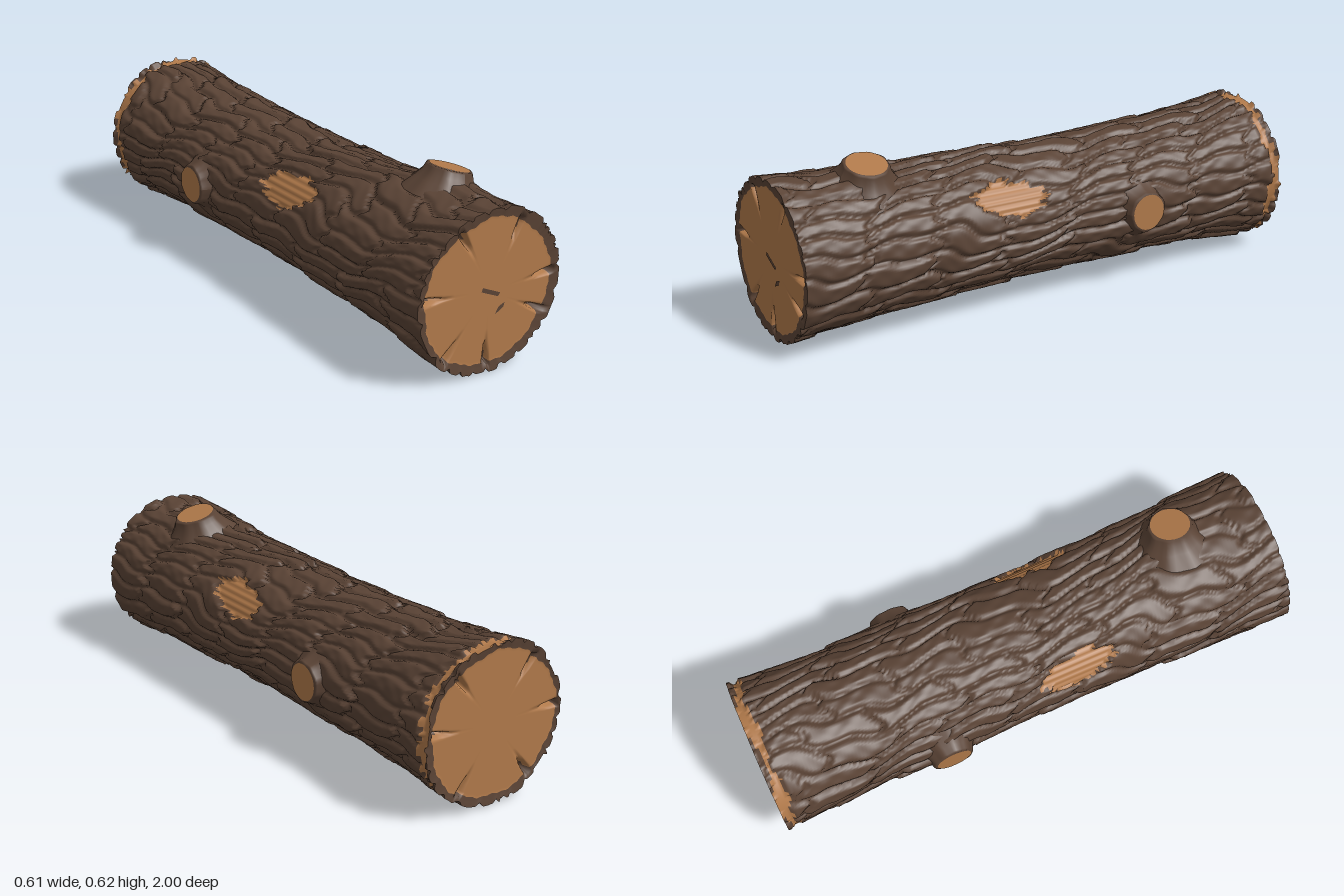
import * as THREE from 'three';

const bark = new THREE.MeshStandardMaterial({ color: 0x5a4335 });
bark.name = 'bark';
const wood = new THREE.MeshStandardMaterial({ color: 0xb0794a });
wood.name = 'cutWood';

const SEG = 264, ROWS = 184, COLS = 24, CY = 0.295, TAU = Math.PI * 2;
const smooth = THREE.MathUtils.smoothstep;
const hash = (a, b) => {
  const s = Math.sin(a * 127.1 + b * 311.7) * 43758.5453;
  return s - Math.floor(s);
};

// branch stubs: centre of the cut face, outward direction, angle round the trunk, swelling of the bark
const stubs = [
  { name: 'topBranchStub', pos: [0.09, 0.603, 0.67], dir: [0.29, 0.957, 0], angle: 1.25, swell: 0.028, size: 1 },
  { name: 'leftBranchStub', pos: [0.302, 0.297, -0.36], dir: [1, 0, 0], angle: 0, swell: 0.012, size: 0.93 },
  { name: 'rightBranchStub', pos: [-0.302, 0.297, -0.36], dir: [-1, 0, 0], angle: Math.PI, swell: 0.012, size: 0.93 },
];

const angleGap = (a, b) => Math.abs(Math.atan2(Math.sin(a - b), Math.cos(a - b)));

// ragged bare patch on each upper flank
function inPatch(a, z) {
  const up = Math.asin(Math.sin(a)); // same height on both flanks
  const v = (up - 0.58) / 0.3;
  const u = (z - 0.17 - 0.04 * v) / (0.15 + 0.04 * Math.min(v, 0));
  const rag = 0.16 * Math.sin(up * 50 + z * 9) + 0.12 * Math.sin(z * 60 + a * 17);
  return u * u + v * v < 0.9 + rag;
}

// peeled strip just before the back end
function inStrip(a, z) {
  const start = -0.957 - 0.008 * Math.sin(a * 7) - 0.006 * Math.sin(a * 19);
  const end = -0.99 - 0.012 * Math.sin(a * 5 + 1);
  return z < start && z > end && Math.sin(a) > -0.75 + 0.1 * Math.sin(z * 90);
}

// overlapping bark plates, split by cracks
function plateHeight(a, z) {
  const u = (a / TAU) * COLS + 0.35 * Math.sin(3 * a + 5 * z) + 0.3 * Math.sin(9 * z + 2 * a)
    + 0.16 * Math.sin(23 * z + 5 * a) + COLS;
  const col = Math.floor(u), id = col % COLS, fu = u - col;
  const v = z / 0.27 + hash(id, 3) * 7 + 0.08 * Math.sin(fu * 6 + id);
  const row = Math.floor(v), fv = v - row;
  const edge = Math.min(Math.min(fu, 1 - fu) * 0.07, Math.min(fv, 1 - fv) * 0.27);
  const crack = 1 - smooth(edge, 0, 0.015);
  return 0.003 - 0.013 * crack - 0.011 * hash(id, row) - 0.007 * fv
    + 0.0015 * Math.sin(z * 70 + id * 2) * Math.sin(fu * 9);
}

function trunkPoint(a, z) {
  const flare = z > 0 ? z * z : -z * z * z;
  let d = plateHeight(a, z);
  if (inPatch(a, z)) d = -0.02 + 0.002 * Math.sin(a * 60);
  if (inStrip(a, z)) d = -0.018;
  for (const s of stubs) {
    const q = (angleGap(a, s.angle) * 0.27) ** 2 + (z - s.pos[2]) ** 2;
    d += s.swell * Math.exp(-q / 0.011);
  }
  const rx = 0.275 + (z > 0 ? 0.03 : 0.02) * flare + d;
  const ry = 0.25 + 0.044 * flare + d;
  return [Math.cos(a) * rx, CY + Math.sin(a) * ry, z];
}

// closed grid of rows round the trunk axis; each quad is bark or cut wood
function ringMesh(name, rows, point, isWood, flip = false) {
  const pos = [], sets = [[], []];
  for (let j = 0; j <= rows; j++)
    for (let i = 0; i < SEG; i++) pos.push(...point((i / SEG) * TAU, j));
  for (let j = 0; j < rows; j++)
    for (let i = 0; i < SEG; i++) {
      const n = (i + 1) % SEG;
      const p = j * SEG + i, q = j * SEG + n, r = p + SEG, s = q + SEG;
      const set = sets[isWood(((i + 0.5) / SEG) * TAU, j + 0.5) ? 1 : 0];
      set.push(...(flip ? [p, r, q, q, r, s] : [p, q, r, q, s, r]));
    }
  const geo = new THREE.BufferGeometry();
  geo.setAttribute('position', new THREE.Float32BufferAttribute(pos, 3));
  geo.setIndex([...sets[0], ...sets[1]]);
  geo.addGroup(0, sets[0].length, 0);
  geo.addGroup(sets[0].length, sets[1].length, 1);
  geo.computeVertexNormals();
  const mesh = new THREE.Mesh(geo, [bark, wood]);
  mesh.name = name;
  return mesh;
}

// sawn end: bark rim, then a wooden disc with radial splits
function endCap(name, side, splits) {
  const scale = [1, 0.96, 0.9, 0.82, 0.72, 0.55, 0.3, 0];
  const split = (a) => Math.max(...splits.map((s) => 1 - smooth(angleGap(a, s), 0.008, 0.06)));
  const point = (a, j) => {
    const [ox, oy] = trunkPoint(a, side);
    const rag = 0.004 * Math.sin(a * 5 + side) + 0.003 * Math.sin(a * 13) + 0.002 * Math.sin(a * 37);
    const cut = split(a);
    const bx = Math.cos(a) * (0.264 + rag - 0.012 * cut) - 0.005;
    const by = CY + Math.sin(a) * (0.254 + rag - 0.012 * cut);
    if (j === 0) return [ox, oy, side];
    if (j === 1) return [(ox + bx) / 2, (oy + by) / 2, side * 0.998];
    const s = scale[j - 2];
    const depth = 0.005 + 0.045 * cut * smooth(s, 0.68, 1);
    return [bx * s, CY + (by - CY) * s, side * (1 - depth)];
  };
  const isWood = (a, j) => j > 2 && !(j < 4 && split(a) > 0.7);
  return ringMesh(name, scale.length + 1, point, isWood, side < 0);
}

// short branch with a flared, grooved collar and a cut face
function branchStub({ name, pos, dir, size }) {
  const group = new THREE.Group();
  group.name = name;
  const profile = [[0.15, -0.1], [0.108, -0.052], [0.088, -0.026], [0.081, -0.006], [0.077, 0], [0.06, 0]]
    .map(([r, y]) => new THREE.Vector2(r, y));
  const geo = new THREE.LatheGeometry(profile, 40);
  const p = geo.attributes.position;
  for (let i = 0; i < p.count; i++) {
    const a = Math.atan2(p.getZ(i), p.getX(i));
    const k = 1 + 0.03 * Math.sin(a * 3 + 1) + 0.025 * Math.sin(a * 9);
    p.setXYZ(i, p.getX(i) * k, p.getY(i), p.getZ(i) * k);
  }
  geo.computeVertexNormals();
  const collar = new THREE.Mesh(geo, bark);
  collar.name = 'collar';
  const faceGeo = new THREE.CircleGeometry(0.072, 28).rotateX(-Math.PI / 2);
  const face = new THREE.Mesh(faceGeo, wood);
  face.name = 'cutFace';
  face.position.y = 0.002;
  group.add(collar, face);
  group.scale.set(size, 1, size);
  group.position.set(...pos);
  group.quaternion.setFromUnitVectors(new THREE.Vector3(0, 1, 0), new THREE.Vector3(...dir).normalize());
  return group;
}

// thin dark slit in the front face
function slit(points) {
  const shape = new THREE.Shape(points.map(([x, y]) => new THREE.Vector2(x, y)));
  const mesh = new THREE.Mesh(new THREE.ShapeGeometry(shape), bark);
  mesh.name = 'heartSlit';
  mesh.position.z = 0.997;
  return mesh;
}

export function createModel() {
  const log = new THREE.Group();
  log.name = 'log';
  const zAt = (j) => -1 + (2 * j) / ROWS;
  log.add(ringMesh('trunk', ROWS, (a, j) => trunkPoint(a, zAt(j)),
    (a, j) => inPatch(a, zAt(j)) || inStrip(a, zAt(j))));
  log.add(endCap('frontEnd', 1, [0.04, 1.06, 2.03, 3.02, 4.0, 4.7, 5.78]));
  log.add(endCap('backEnd', -1, [0.1, 0.9, 2.2, 3.1, 4.1, 5.3]));
  stubs.forEach((s) => log.add(branchStub(s)));
  log.add(slit([[-0.035, 0.302], [0.035, 0.27], [0.045, 0.281], [-0.03, 0.316]]));
  log.add(slit([[0.025, 0.207], [0.06, 0.225], [0.066, 0.242], [0.04, 0.232]]));
  return log;
}
